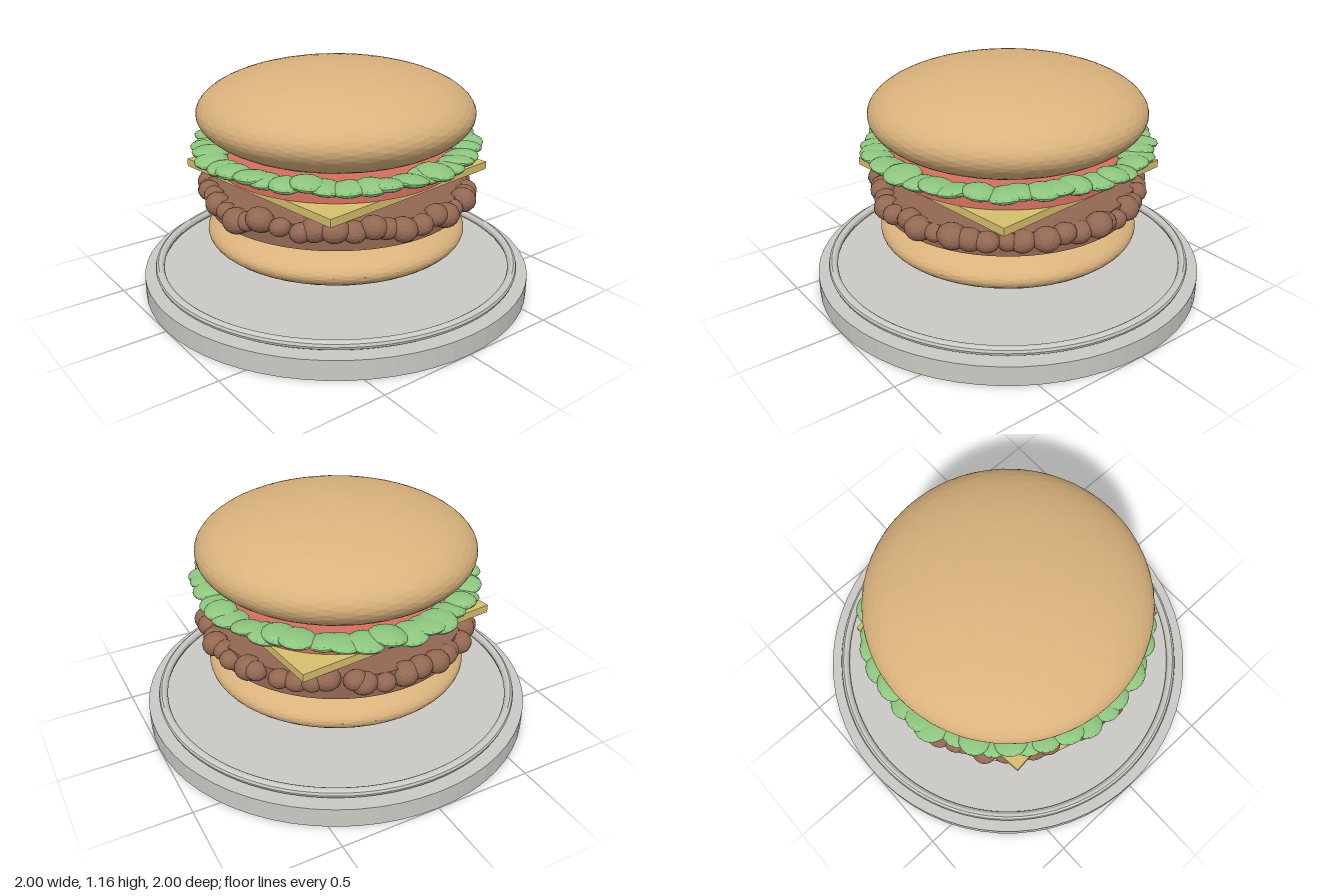
import * as THREE from 'three';

const mat = (name, color, flatShading = true) => {
  const m = new THREE.MeshStandardMaterial({ color, flatShading });
  m.name = name;
  return m;
};

// Small seeded generator for the irregular rings
function seeded(seed) {
  return () => {
    seed = (seed * 1664525 + 1013904223) % 4294967296;
    return seed / 4294967296;
  };
}

export function createModel() {
  const model = new THREE.Group();
  model.name = 'burgerOnPlate';

  const plateGrey = mat('plateGrey', 0xcbc9c4);
  const bunTan = mat('bunTan', 0xdab27d);
  const pattyBrown = mat('pattyBrown', 0x936853);
  const cheeseYellow = mat('cheeseYellow', 0xd6bf6e);
  const tomatoRed = mat('tomatoRed', 0xd5705f);
  const lettuceGreen = mat('lettuceGreen', 0x8dc57e);

  const add = (name, geometry, material, y = 0, parent = model) => {
    const mesh = new THREE.Mesh(geometry, material);
    mesh.name = name;
    mesh.position.y = y;
    parent.add(mesh);
    return mesh;
  };
  const disc = (name, r, y0, y1, material) =>
    add(name, new THREE.CylinderGeometry(r, r, y1 - y0, 64), material, (y0 + y1) / 2);
  const bun = (name, r, ry, y) =>
    add(name, new THREE.IcosahedronGeometry(1, 9), bunTan, y).scale.set(r, ry, r);

  // Plate with a raised ring
  disc('plate', 1, 0, 0.1, plateGrey);
  add('plateRim', new THREE.TorusGeometry(0.922, 0.023, 10, 96).rotateX(Math.PI / 2), plateGrey, 0.128);

  // Buns
  bun('bottomBun', 0.665, 0.16, 0.31);
  bun('topBun', 0.697, 0.24, 0.92);

  // Patty, cheese slice and tomato
  disc('patty', 0.65, 0.44, 0.56, pattyBrown);
  add('cheeseSlice', new THREE.BoxGeometry(1.086, 0.04, 1.086), cheeseYellow, 0.625).rotation.y = 0.11;
  disc('tomato', 0.6, 0.648, 0.74, tomatoRed);

  // Ring of irregular blobs; size() gives radial, vertical and tangential radii
  const ring = (name, count, radius, y, jitter, tilt, material, seed, size) => {
    const group = new THREE.Group();
    group.name = name;
    const rnd = seeded(seed);
    const spread = (s) => (rnd() * 2 - 1) * s;
    const blob = new THREE.IcosahedronGeometry(1, 2);
    for (let i = 0; i < count; i++) {
      const a = ((i + spread(0.3)) / count) * Math.PI * 2;
      const r = radius + spread(0.015);
      const mesh = add(name + 'Piece', blob, material, y + spread(jitter), group);
      mesh.position.x = Math.cos(a) * r;
      mesh.position.z = Math.sin(a) * r;
      mesh.rotation.set(spread(tilt), -a, spread(tilt), 'YXZ');
      mesh.scale.set(...size(rnd));
    }
    model.add(group);
  };

  // Lumpy patty edge
  ring('pattyLumps', 48, 0.655, 0.53, 0.02, 0.3, pattyBrown, 7, (rnd) => {
    const s = 0.048 + rnd() * 0.02;
    return [s, s * 0.92, s * 1.08];
  });

  // Ruffled lettuce edge
  ring('lettuce', 44, 0.655, 0.752, 0.012, 0.14, lettuceGreen, 21, (rnd) => {
    const s = 0.078 + rnd() * 0.016;
    return [s, 0.027 + rnd() * 0.006, s];
  });

  return model;
}
